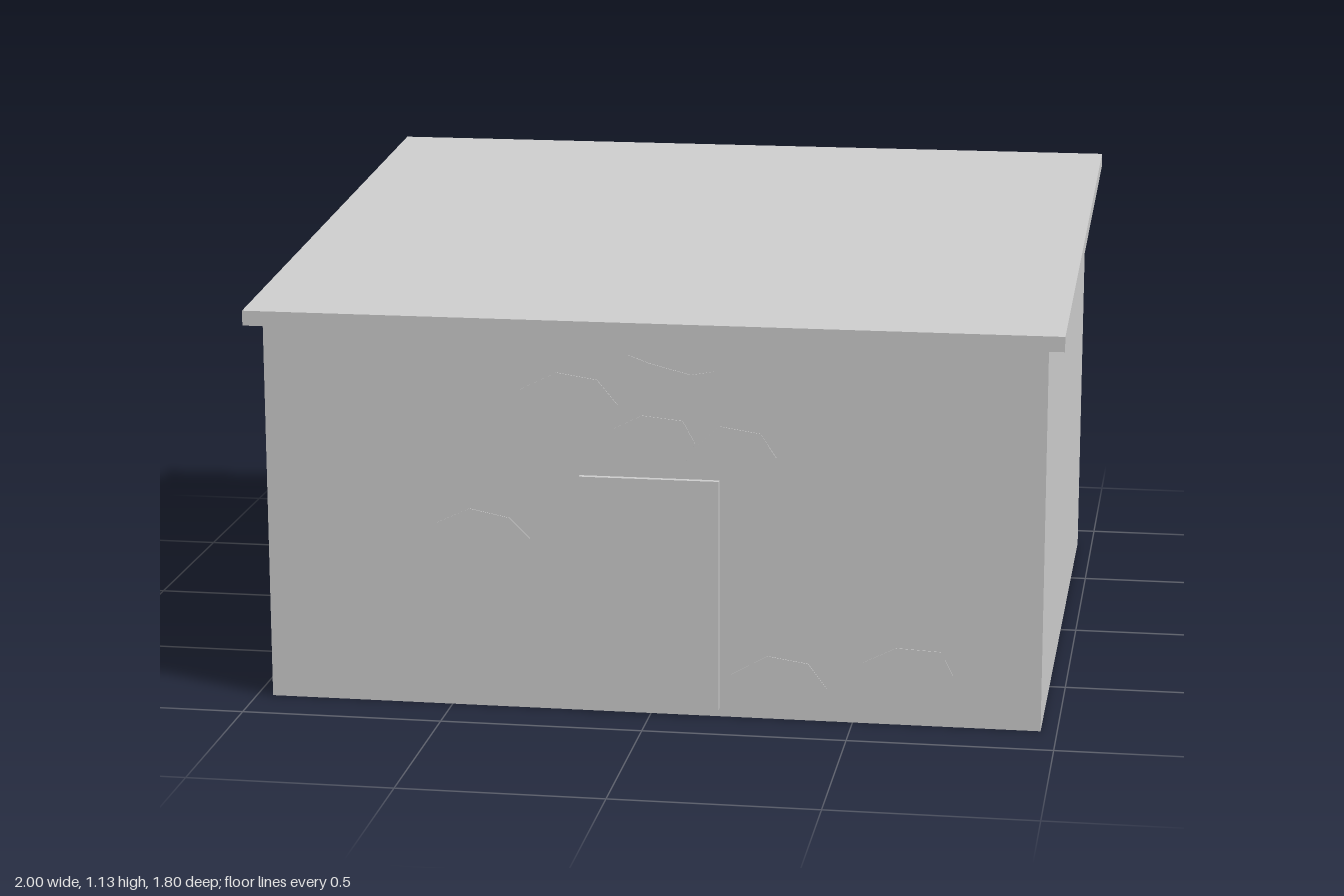
import * as THREE from 'three';

export function createModel() {
  const model = new THREE.Group();
  const plaster = new THREE.MeshStandardMaterial({ color: 0xcccccc });
  plaster.name = 'lightGrey';

  const add = (name, geometry) => {
    const mesh = new THREE.Mesh(geometry, plaster);
    mesh.name = name;
    model.add(mesh);
    return mesh;
  };
  const extrude = (points, depth) => new THREE.ExtrudeGeometry(
    new THREE.Shape(points.map(([x, y]) => new THREE.Vector2(x, y))),
    { depth, bevelEnabled: false });

  // Side profile given as [z, y], extruded across the width
  const acrossWidth = (profile, width) =>
    extrude(profile.map(([z, y]) => [-z, y]), width)
      .translate(0, 0, -width / 2)
      .rotateY(Math.PI / 2);

  // Walls with sloping top
  add('walls', acrossWidth([[0.86, 0], [0.86, 0.96], [-0.86, 1.09], [-0.86, 0]], 1.92));

  // Overhanging mono-pitch roof slab
  add('roof', acrossWidth([[0.9, 0.955], [0.9, 0.992], [-0.9, 1.128], [-0.9, 1.09]], 2));

  // Door panel, slightly proud of the front wall
  add('door', new THREE.BoxGeometry(0.345, 0.58, 0.015)).position.set(-0.002, 0.31, 0.8675);

  // Exposed stones, thin plates on the front wall
  const stones = [
    [[-0.32, 0.81], [-0.23, 0.855], [-0.13, 0.84], [-0.08, 0.78], [-0.13, 0.72], [-0.23, 0.705], [-0.32, 0.74]],
    [[-0.055, 0.905], [0, 0.885], [0.1, 0.86], [0.155, 0.87], [0.12, 0.82], [0.01, 0.8], [-0.075, 0.845]],
    [[-0.09, 0.72], [-0.02, 0.755], [0.08, 0.745], [0.11, 0.69], [0.08, 0.63], [-0.02, 0.61], [-0.11, 0.66]],
    [[0.11, 0.68], [0.17, 0.735], [0.27, 0.72], [0.31, 0.66], [0.27, 0.595], [0.17, 0.59], [0.15, 0.605], [0.1, 0.625]],
    [[-0.535, 0.465], [-0.45, 0.505], [-0.35, 0.485], [-0.3, 0.435], [-0.35, 0.385], [-0.445, 0.37], [-0.525, 0.405]],
    [[0.2, 0.11], [0.29, 0.16], [0.39, 0.145], [0.435, 0.085], [0.385, 0.025], [0.285, 0.01], [0.205, 0.045]],
    [[0.525, 0.155], [0.605, 0.195], [0.715, 0.19], [0.745, 0.13], [0.7, 0.065], [0.605, 0.07], [0.525, 0.1]],
  ];
  stones.forEach((outline, i) => {
    add(`stone${i + 1}`, extrude(outline, 0.003)).position.z = 0.859;
  });

  return model;
}
